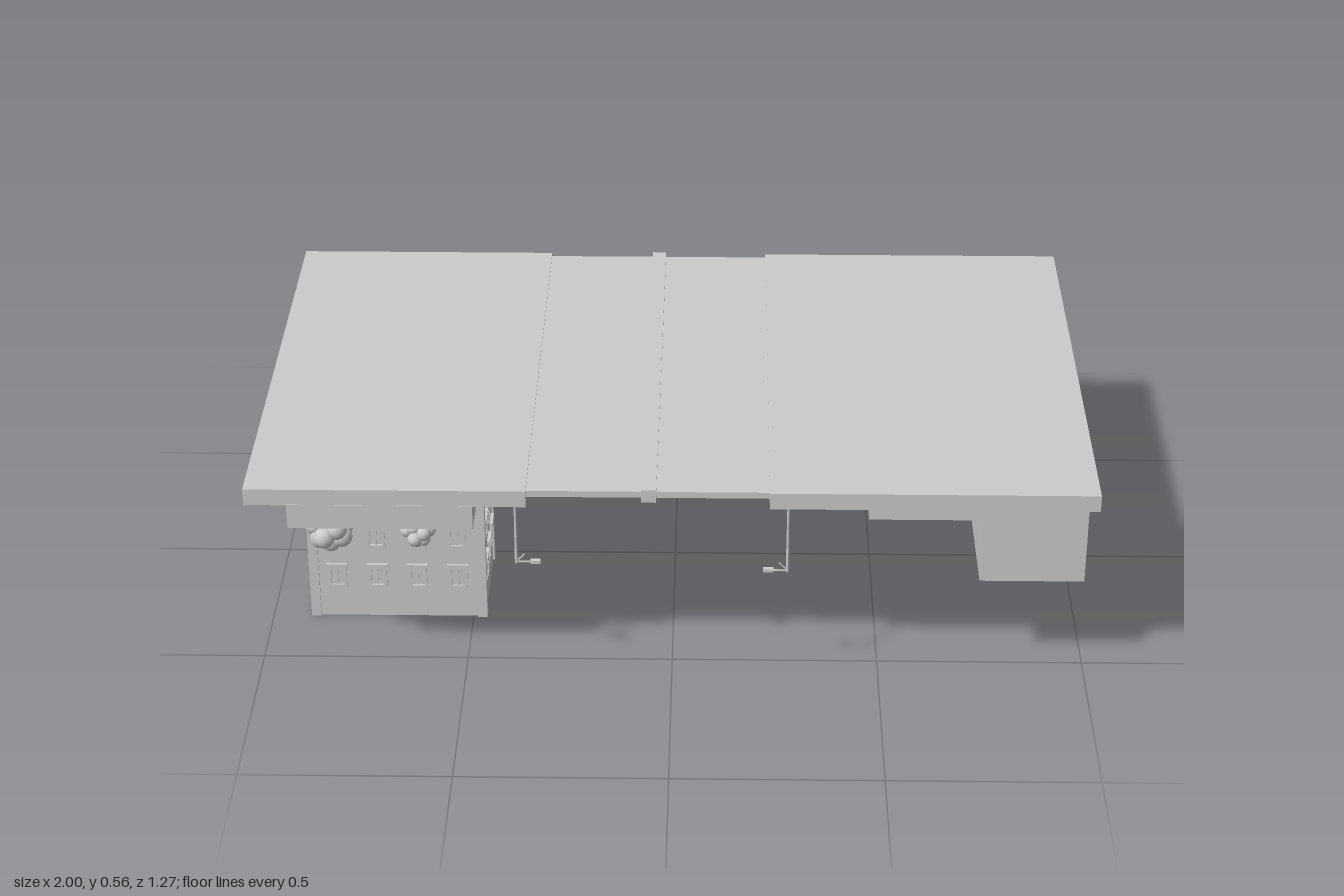
import * as THREE from 'three';

const mat = new THREE.MeshStandardMaterial({ color: 0xcccccc, flatShading: true });
const smooth = new THREE.MeshStandardMaterial({ color: 0xcccccc });

// The street hangs below its ground slab, so "up" for the buildings is -y.
export function createModel() {
  const root = new THREE.Group();

  const group = (name, parent = root) => {
    const g = new THREE.Group();
    g.name = name;
    parent.add(g);
    return g;
  };
  // Box given by its minimum and maximum on each axis
  const box = (name, x0, x1, y0, y1, z0, z1, parent = root) => {
    const m = new THREE.Mesh(new THREE.BoxGeometry(x1 - x0, y1 - y0, z1 - z0), mat);
    m.position.set((x0 + x1) / 2, (y0 + y1) / 2, (z0 + z1) / 2);
    m.name = name;
    parent.add(m);
    return m;
  };

  // Ground: two pavements, the road and its median
  box('leftPavement', -1, -0.34, 0.508, 0.55, -0.633, 0.633);
  box('rightPavement', 0.23, 1, 0.508, 0.55, -0.633, 0.633);
  box('road', -0.34, 0.23, 0.53, 0.546, -0.622, 0.622);
  box('median', -0.07, -0.035, 0.522, 0.555, -0.631, 0.631);

  // Rim around a recessed roof, extruded from an outline in x and z
  function block(name, outline, inner, yRoof) {
    const g = group(name);
    const toShape = pts => new THREE.Shape(pts.map(([x, z]) => new THREE.Vector2(x, -z)));
    const slab = (part, shape, y0, y1) => {
      const geo = new THREE.ExtrudeGeometry(shape, { depth: y1 - y0, bevelEnabled: false });
      geo.rotateX(-Math.PI / 2);
      const m = new THREE.Mesh(geo, mat);
      m.position.y = y0;
      m.name = part;
      g.add(m);
    };
    slab('walls', toShape(outline), yRoof + 0.025, 0.51);
    const rim = toShape(outline);
    rim.holes.push(new THREE.Path(inner.map(([x, z]) => new THREE.Vector2(x, -z))));
    slab('parapet', rim, yRoof, yRoof + 0.025);
    return g;
  }
  const rect = (x0, x1, z0, z1, d = 0) =>
    [[x0 + d, z0 + d], [x1 - d, z0 + d], [x1 - d, z1 - d], [x0 + d, z1 - d]];

  // Framed window on a wall; axis is the wall normal, dir its sign
  function windowAt(parent, axis, dir, wall, along, y, w = 0.045, h = 0.06) {
    const g = group('window', parent);
    const t = 0.007, p = 0.006;
    const bar = (name, u, v, bw, bh, depth) => {
      const m = new THREE.Mesh(new THREE.BoxGeometry(bw, bh, depth), mat);
      m.position.set(u, v, depth / 2);
      m.name = name;
      g.add(m);
    };
    for (const s of [-1, 1]) {
      bar('frameSide', s * (w - t) / 2, 0, t, h, p);
      bar('frameEdge', 0, s * (h - t) / 2, w, t, p);
    }
    bar('mullion', 0, 0, t / 2, h, p * 0.6);
    bar('sill', 0, h / 2 + t / 2, w + 0.008, t, p * 1.4);
    if (axis === 'x') {
      g.position.set(wall, y, along);
      g.rotation.y = dir * Math.PI / 2;
    } else {
      g.position.set(along, y, wall);
      if (dir < 0) g.rotation.y = Math.PI;
    }
  }

  // Tower
  const rows = [0.115, 0.23, 0.345, 0.46];
  const tower = block('tower', rect(-0.9, -0.47, 0.023, 0.31), rect(-0.9, -0.47, 0.023, 0.31, 0.018), 0);
  for (const x of [-0.893, -0.477]) for (const z of [0.03, 0.303])
    box('cornerPost', x - 0.012, x + 0.012, 0, 0.51, z - 0.012, z + 0.012, tower);
  for (const y of rows) {
    for (const z of [0.255, 0.175, 0.09]) {
      windowAt(tower, 'x', 1, -0.47, z, y);
      windowAt(tower, 'x', -1, -0.9, z, y);
    }
    for (let i = 0; i < 4; i++) windowAt(tower, 'z', 1, 0.31, -0.835 + i * 0.1, y);
  }
  for (let i = 0; i < 4; i++) windowAt(tower, 'z', -1, 0.023, -0.835 + i * 0.1, 0.115);

  // Rear wing of the tower with a small side room
  const wing = block('rearWing', rect(-0.903, -0.61, -0.463, 0.023), rect(-0.903, -0.61, -0.463, 0.023, 0.015), 0.205);
  for (let i = 0; i < 4; i++) windowAt(wing, 'x', 1, -0.61, -0.4 + i * 0.11, 0.295);
  box('sideRoom', -0.615, -0.585, 0.385, 0.51, -0.32, -0.09, wing);
  box('rearLedge', -0.905, -0.608, 0.24, 0.255, -0.467, -0.45, wing);

  // Front yard: low wall around two shrubs
  const yard = group('frontYard');
  box('frontWall', -0.9, -0.465, 0.447, 0.51, 0.617, 0.634, yard);
  for (const x of [-0.9, -0.48]) box('sideWall', x, x + 0.015, 0.447, 0.51, 0.31, 0.62, yard);

  function shrub(x, y, z, r, blobs) {
    const g = group('shrub', yard);
    const trunk = new THREE.Mesh(new THREE.CylinderGeometry(0.006, 0.006, 0.51 - y, 8), smooth);
    trunk.position.set(x, (0.51 + y) / 2, z);
    trunk.name = 'trunk';
    g.add(trunk);
    for (let i = 0; i < blobs; i++) {
      const a = i * 2.4, k = (i + 0.5) / blobs;
      const m = new THREE.Mesh(new THREE.SphereGeometry(r * 0.5, 12, 8), smooth);
      const rad = r * 0.75 * Math.sin(Math.PI * k);
      m.position.set(x + rad * Math.cos(a), y + r * (0.9 - 1.8 * k) * 0.7, z + rad * Math.sin(a));
      m.name = 'leafBall';
      g.add(m);
    }
  }
  shrub(-0.82, 0.365, 0.5, 0.052, 12);
  shrub(-0.602, 0.392, 0.555, 0.036, 10);

  // L-shaped hall on the other side of the road
  const hall = block('hall',
    [[0.467, -0.6], [0.985, -0.6], [0.985, 0.553], [0.735, 0.553], [0.735, 0], [0.467, 0]],
    [[0.482, -0.585], [0.97, -0.585], [0.97, 0.538], [0.75, 0.538], [0.75, -0.015], [0.482, -0.015]], 0.267);
  box('wallSeam', 0.98, 0.987, 0.267, 0.51, 0.008, 0.014, hall);
  for (let i = 0; i < 5; i++)
    for (const y of [0.35, 0.45]) windowAt(hall, 'x', -1, 0.467, -0.54 + i * 0.115, y);
  box('annex', 0.467, 0.737, 0.428, 0.51, 0.36, 0.542, hall);
  const awning = box('awning', 0.435, 0.47, 0.406, 0.411, -0.2, -0.05, hall);
  awning.rotation.z = -0.35;

  // Street lamps, arms reaching over the road
  function lamp(x, z, dir) {
    const g = group('streetLamp');
    const pole = new THREE.Mesh(new THREE.CylinderGeometry(0.003, 0.004, 0.18, 8), smooth);
    pole.position.set(x, 0.42, z);
    pole.name = 'pole';
    const arm = new THREE.Mesh(new THREE.CylinderGeometry(0.0025, 0.0025, 0.05, 6), smooth);
    arm.rotation.z = Math.PI / 2;
    arm.position.set(x + dir * 0.025, 0.333, z);
    arm.name = 'arm';
    const brace = new THREE.Mesh(new THREE.CylinderGeometry(0.002, 0.002, 0.028, 6), smooth);
    brace.rotation.z = -dir * Math.PI / 4;
    brace.position.set(x + dir * 0.01, 0.344, z);
    brace.name = 'brace';
    g.add(pole, arm, brace);
    box('lampHead', x + dir * 0.045 - 0.012, x + dir * 0.045 + 0.012, 0.33, 0.338, z - 0.006, z + 0.006, g);
  }
  for (const z of [-0.55, -0.24, 0.07, 0.59]) lamp(-0.368, z, 1);
  for (const z of [-0.5, 0.06, 0.62]) lamp(0.274, z, -1);

  // Cars: body, cabin and four wheels, hanging from the road
  function car(x, z, h) {
    const g = group('car');
    box('body', x - 0.03, x + 0.03, 0.518 - h * 0.55, 0.52, z - 0.055, z + 0.055, g);
    const cabin = box('cabin', x - 0.026, x + 0.026, 0.52 - h, 0.52 - h * 0.5, z - 0.03, z + 0.03, g);
    cabin.scale.z = 0.9;
    for (const sx of [-1, 1]) for (const sz of [-1, 1]) {
      const w = new THREE.Mesh(new THREE.CylinderGeometry(0.011, 0.011, 0.008, 12), smooth);
      w.rotation.z = Math.PI / 2;
      w.position.set(x + sx * 0.029, 0.52, z + sz * 0.035);
      w.name = 'wheel';
      g.add(w);
    }
  }
  const lanes = [
    [0.182, 0.062, [-0.15, 0.07, 0.35]],
    [0.058, 0.062, [-0.3, -0.1, 0.23]],
    [-0.152, 0.045, [-0.43, -0.04, 0.4]],
    [-0.28, 0.072, [-0.22, -0.05, 0.2]],
  ];
  for (const [x, h, zs] of lanes) for (const z of zs) car(x, z, h);

  return root;
}
